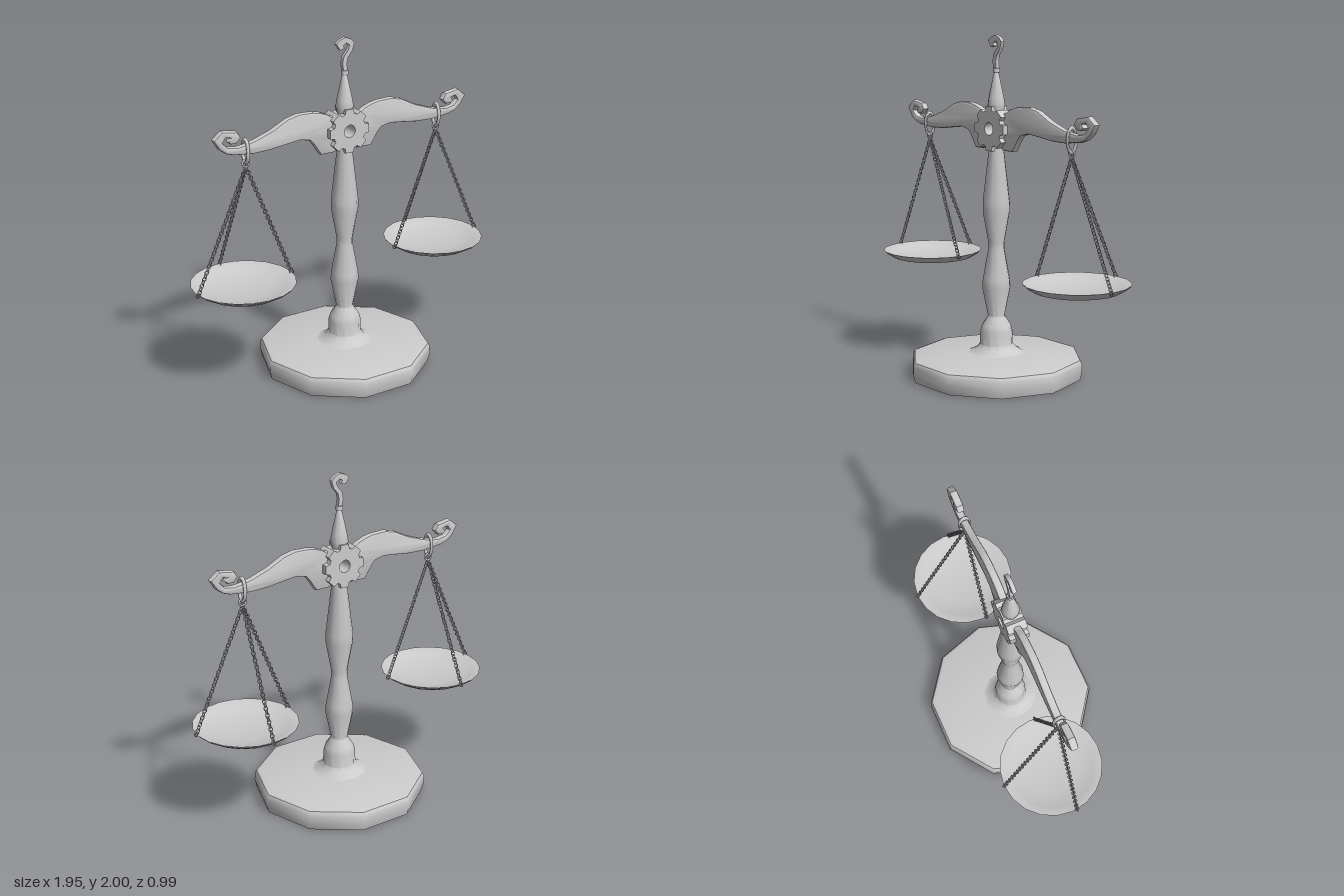
import * as THREE from 'three';
import { mergeGeometries, toCreasedNormals } from 'three/addons/utils/BufferGeometryUtils.js';

const material = new THREE.MeshStandardMaterial({ color: 0xcccccc });
const doubleSided = new THREE.MeshStandardMaterial({ color: 0xcccccc, side: THREE.DoubleSide });
const vectors = (points) => points.map(([x, y]) => new THREE.Vector2(x, y));

function addMesh(parent, name, geometry, mat = material) {
  const mesh = new THREE.Mesh(geometry, mat);
  mesh.name = name;
  parent.add(mesh);
  return mesh;
}

// Lathe with a vertex on the x axis; hard edges only where the profile bends sharply
function turned(profile, sides) {
  const geometry = new THREE.LatheGeometry(vectors(profile), sides);
  geometry.rotateY(Math.PI / 2);
  return toCreasedNormals(geometry, 0.7);
}

// Flat outline, thickened evenly about z = 0, with optional round hole and rounded edges
function plate(outline, thickness, bevel = 0, hole = null) {
  const shape = new THREE.Shape(vectors(outline));
  if (hole) shape.holes.push(new THREE.Path().absarc(hole.x, hole.y, hole.r, 0, Math.PI * 2, true));
  const depth = thickness - 2 * bevel;
  const geometry = new THREE.ExtrudeGeometry(shape, {
    depth, curveSegments: 8, bevelEnabled: bevel > 0, bevelThickness: bevel,
    bevelSize: bevel, bevelOffset: -bevel, bevelSegments: 2,
  });
  geometry.translate(0, 0, -depth / 2);
  return toCreasedNormals(geometry, 0.75);
}

// Row of small links, each turned a quarter against the last
function chain(from, to) {
  const direction = to.clone().sub(from);
  const count = Math.round(direction.length() / 0.0195);
  const align = new THREE.Quaternion().setFromUnitVectors(
    new THREE.Vector3(0, -1, 0), direction.clone().normalize());
  const links = [];
  for (let i = 0; i <= count; i++) {
    const link = new THREE.TorusGeometry(0.0115, 0.0032, 4, 8);
    link.scale(1, 1.15, 1);
    if (i % 2) link.rotateY(Math.PI / 2);
    link.applyQuaternion(align);
    const p = from.clone().lerp(to, i / count);
    links.push(link.translate(p.x, p.y, p.z));
  }
  return mergeGeometries(links);
}

// Shackle over the beam, chains and dish for one side
function hangingPan(side) {
  const group = new THREE.Group();
  group.name = side > 0 ? 'leftPan' : 'rightPan';
  const hangX = side * 0.64, panX = side * 0.66, panZ = -0.03, rimY = 0.655;

  const shackle = new THREE.TorusGeometry(0.06, 0.011, 6, 16);
  shackle.rotateY(Math.PI / 2).scale(1, 1.12, 0.55).translate(hangX, 1.447, 0);
  addMesh(group, 'shackle', shackle);
  addMesh(group, 'chainRing', new THREE.TorusGeometry(0.021, 0.006, 6, 12).translate(hangX, 1.375, 0));

  // Three chains: outer, inner and back
  const ends = [[panX + 0.3, 0], [panX - 0.3, 0], [panX, -0.33]];
  for (const [x, z] of ends) {
    const end = new THREE.Vector3(x, rimY, z);
    addMesh(group, 'chain', chain(new THREE.Vector3(hangX, 1.355, 0), end));
    const eye = new THREE.TorusGeometry(0.013, 0.004, 5, 10);
    if (z < 0) eye.rotateY(Math.PI / 2);
    addMesh(group, 'rimEye', eye.translate(x, rimY, z));
  }

  // Shallow dish with a thin wall
  const dish = turned([
    [0, 0.605], [0.2, 0.606], [0.245, 0.615], [0.29, 0.642], [0.304, 0.657],
    [0.297, 0.657], [0.25, 0.636], [0.16, 0.618], [0, 0.612],
  ], 20);
  addMesh(group, 'dish', dish.translate(panX, 0, panZ));
  return group;
}

export function createModel() {
  const model = new THREE.Group();

  // Ten-sided base, hollow underneath
  addMesh(model, 'base', turned([
    [0.15, 0.115], [0.35, 0.1], [0.36, 0], [0.505, 0], [0.518, 0.05],
    [0.515, 0.1], [0.505, 0.118], [0.48, 0.126], [0.15, 0.143],
  ], 10), doubleSided);

  // Foot flare, collar and twice-swelling column
  addMesh(model, 'post', turned([
    [0.175, 0.138], [0.15, 0.147], [0.12, 0.165], [0.098, 0.19], [0.096, 0.27],
    [0.086, 0.305], [0.055, 0.35], [0.05, 0.36], [0.084, 0.53], [0.08, 0.58],
    [0.048, 0.76], [0.048, 0.8], [0.08, 0.98], [0.08, 1.04], [0.045, 1.34], [0.045, 1.375],
  ], 12), doubleSided);

  // Beam: half outline from top centre, round the curled tip, to bottom centre
  const half = [
    [0.1, 1.558], [0.125, 1.575], [0.17, 1.592], [0.22, 1.602], [0.31, 1.605], [0.38, 1.588],
    [0.48, 1.538], [0.58, 1.503], [0.64, 1.488], [0.7, 1.48], [0.755, 1.49], [0.785, 1.52],
    [0.765, 1.546], [0.737, 1.54], [0.752, 1.52], [0.735, 1.504], [0.7, 1.505], [0.673, 1.535],
    [0.695, 1.57], [0.785, 1.585], [0.84, 1.542], [0.805, 1.485], [0.765, 1.455], [0.72, 1.44],
    [0.6, 1.427], [0.49, 1.43], [0.39, 1.443], [0.3, 1.453], [0.24, 1.44], [0.22, 1.42],
    [0.168, 1.342], [0.075, 1.342], [0.06, 1.37],
  ];
  const mirrored = half.map(([x, y]) => [-x, y]).reverse();
  addMesh(model, 'beam', plate([...half, ...mirrored], 0.046, 0.012, { x: 0, y: 1.465, r: 0.06 }));

  // Eight-toothed gear with a hole right through
  const gearOutline = [];
  for (let i = 0; i < 8; i++) {
    for (const [offset, radius] of [[-0.29, 0.106], [-0.2, 0.131], [0.2, 0.131], [0.29, 0.106]]) {
      const a = i * Math.PI / 4 + offset;
      gearOutline.push([Math.cos(a) * radius, 1.465 + Math.sin(a) * radius]);
    }
  }
  addMesh(model, 'gear', plate(gearOutline, 0.115, 0, { x: 0, y: 1.465, r: 0.037 }));

  // Tapered finial with a small collar
  addMesh(model, 'finial', turned([
    [0, 1.545], [0.04, 1.545], [0.052, 1.6], [0.046, 1.64], [0.018, 1.77], [0.012, 1.785],
    [0.021, 1.785], [0.021, 1.81], [0, 1.812],
  ], 10));

  // Curled crest on top
  addMesh(model, 'crest', plate([
    [-0.013, 1.808], [-0.02, 1.85], [-0.012, 1.89], [0.018, 1.925], [0.027, 1.952], [0.005, 1.967],
    [-0.015, 1.955], [-0.006, 1.937], [-0.035, 1.93], [-0.06, 1.967], [-0.035, 1.987], [0, 2],
    [0.038, 1.985], [0.058, 1.962], [0.045, 1.92], [0.016, 1.885], [0.008, 1.85], [0.013, 1.808],
  ], 0.024));

  model.add(hangingPan(1), hangingPan(-1));
  return model;
}
